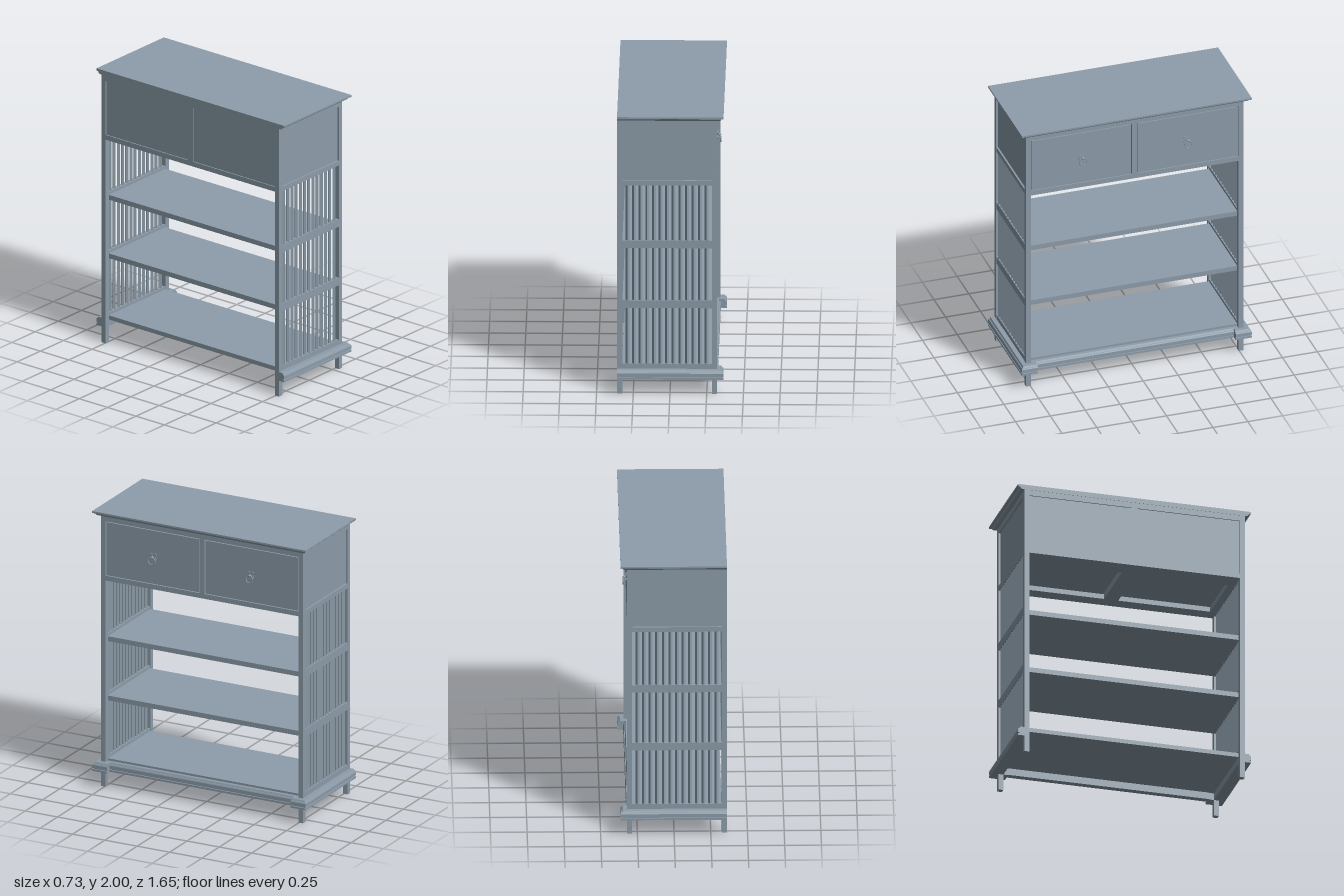
import * as THREE from 'three';

const paint = new THREE.MeshStandardMaterial({ color: 0x8d9daa, side: THREE.DoubleSide });

export function createModel() {
  const root = new THREE.Group();
  const add = (name, geo) => {
    const m = new THREE.Mesh(geo, paint);
    m.name = name;
    root.add(m);
    return m;
  };
  // Box given by its limits on each axis
  const box = (name, x0, x1, y0, y1, z0, z1) =>
    add(name, new THREE.BoxGeometry(x1 - x0, y1 - y0, Math.abs(z1 - z0))
      .translate((x0 + x1) / 2, (y0 + y1) / 2, (z0 + z1) / 2));

  // Moulding: profile [outward, y] swept along path [x, z, outX, outZ] with mitred corners
  const moulding = (name, profile, path) => {
    const pos = [];
    const rings = path.map(([x, z, ox, oz]) => profile.map(([o, y]) => [x + o * ox, y, z + o * oz]));
    const n = profile.length;
    const tri = (a, b, c) => pos.push(...a, ...b, ...c);
    for (let i = 0; i < rings.length - 1; i++) {
      for (let j = 0; j < n; j++) {
        const k = (j + 1) % n;
        tri(rings[i][j], rings[i][k], rings[i + 1][k]);
        tri(rings[i][j], rings[i + 1][k], rings[i + 1][j]);
      }
    }
    const first = rings[0], last = rings[rings.length - 1];
    for (let j = 1; j < n - 1; j++) {
      tri(first[0], first[j + 1], first[j]);
      tri(last[0], last[j], last[j + 1]);
    }
    const g = new THREE.BufferGeometry();
    g.setAttribute('position', new THREE.Float32BufferAttribute(pos, 3));
    g.computeVertexNormals();
    return add(name, g);
  };

  // Top board with crown moulding on the front and both ends
  box('topBoard', -0.36, 0.32, 1.965, 2, -0.78, 0.78);
  moulding('crownMoulding',
    [[0, 1.965], [0.016, 1.966], [0.024, 1.971], [0.028, 1.978], [0.03, 1.985], [0.043, 1.986], [0.045, 1.988], [0.045, 2], [0, 2]],
    [[-0.36, -0.78, 0, -1], [0.32, -0.78, 1, -1], [0.32, 0.78, 1, 1], [-0.36, 0.78, 0, 1]]);

  // Base mouldings: end pieces that return around the front corners, slim recessed rail between
  const base = [[-0.035, 0.116], [0.045, 0.116], [0.045, 0.13], [0.036, 0.13], [0.036, 0.138],
    [0.045, 0.138], [0.045, 0.16], [0.041, 0.168], [0.036, 0.168], [0.03, 0.18], [-0.035, 0.18]];
  moulding('leftBaseMoulding', base, [[0.32, 0.71, 1, 0], [0.32, 0.78, 1, 1], [-0.36, 0.78, 0, 1]]);
  moulding('rightBaseMoulding', base, [[-0.36, -0.78, 0, -1], [0.32, -0.78, 1, -1], [0.32, -0.71, 1, 0]]);
  moulding('frontBaseMoulding', base.map(([o, y]) => [Math.max(o, 0), y]),
    [[0.28, -0.71, 1, 0], [0.28, 0.71, 1, 0]]);

  // Shelves, set back to the inner faces of the posts
  for (const [name, y0, y1] of [['bottomShelf', 0.165, 0.195], ['lowerShelf', 0.615, 0.65], ['upperShelf', 1.045, 1.08]])
    box(name, -0.325, 0.285, y0, y1, -0.747, 0.747);

  for (const s of [1, -1]) {
    // Corner posts
    box('backPost', -0.36, -0.325, 0, 1.965, s * 0.745, s * 0.78);
    box('frontPost', 0.285, 0.32, 0, 1.965, s * 0.745, s * 0.78);
    // End rails
    for (const [y0, y1] of [[0.175, 0.215], [0.615, 0.67], [1.045, 1.1], [1.495, 1.53], [1.925, 1.965]])
      box('endRail', -0.325, 0.285, y0, y1, s * 0.747, s * 0.778);
    // Solid end panel beside the drawers
    box('endPanel', -0.325, 0.285, 1.53, 1.925, s * 0.75, s * 0.766);
    // Vertical slats, three tiers
    for (const [y0, y1] of [[0.215, 0.615], [0.67, 1.045], [1.1, 1.495]]) {
      for (let i = 0; i < 13; i++) {
        const x = -0.02 + (i - 6) * 0.045;
        add('slat', new THREE.CylinderGeometry(0.0135, 0.0135, y1 - y0, 4, 1, true).toNonIndexed()
          .translate(x, (y0 + y1) / 2, s * 0.763)).geometry.computeVertexNormals();
      }
    }
  }

  // Drawer frame on front and back
  for (const [x0, x1] of [[-0.358, -0.325], [0.285, 0.318]]) {
    box('upperRail', x0, x1, 1.925, 1.965, -0.745, 0.745);
    box('centreStile', x0, x1, 1.53, 1.925, -0.02, 0.02);
  }
  // Horizontal support frame beneath the drawers
  box('frontDrawerRail', 0.22, 0.318, 1.495, 1.53, -0.745, 0.745);
  box('backDrawerRail', -0.358, -0.22, 1.495, 1.53, -0.745, 0.745);
  box('centreRunner', -0.22, 0.22, 1.495, 1.53, -0.05, 0.05);
  for (const s of [1, -1]) box('endRunner', -0.22, 0.22, 1.495, 1.53, s * 0.7, s * 0.747);

  // Pull: lobed plate, knob and hanging ring
  const addPull = (z) => {
    const pull = new THREE.Group();
    pull.name = 'drawerPull';
    const part = (name, geo, x, y) => {
      const m = new THREE.Mesh(geo, paint);
      m.name = name;
      m.position.set(x, y, 0);
      pull.add(m);
      return m;
    };
    const outline = new THREE.Shape();
    for (let i = 0; i <= 48; i++) {
      const a = (i / 48) * Math.PI * 2;
      const r = 0.025 - 0.008 * Math.cos(4 * a);
      outline[i ? 'lineTo' : 'moveTo'](r * Math.cos(a), r * Math.sin(a));
    }
    part('pullPlate', new THREE.ExtrudeGeometry(outline, { depth: 0.006, bevelEnabled: false })
      .rotateY(Math.PI / 2), 0, 0.002);
    part('pullKnob', new THREE.SphereGeometry(0.009, 16, 10).scale(1.5, 1, 1), 0.014, 0);
    part('pullRing', new THREE.TorusGeometry(0.026, 0.0035, 8, 32).rotateY(Math.PI / 2), 0.022, -0.025)
      .rotation.z = 0.12;
    pull.position.set(0.318, 1.73, z);
    root.add(pull);
  };

  // Two drawers
  for (const s of [1, -1]) {
    const z0 = s * 0.025, z1 = s * 0.74;
    box('drawerFront', 0.29, 0.318, 1.535, 1.92, z0, z1);
    box('drawerBack', -0.35, -0.33, 1.53, 1.925, s * 0.02, s * 0.745);
    box('drawerBottom', -0.33, 0.29, 1.56, 1.572, z0, z1);
    box('drawerInnerSide', -0.33, 0.29, 1.535, 1.9, z0, s * 0.04);
    box('drawerOuterSide', -0.33, 0.29, 1.535, 1.9, s * 0.725, z1);
    addPull(s * 0.377);
  }
  return root;
}
